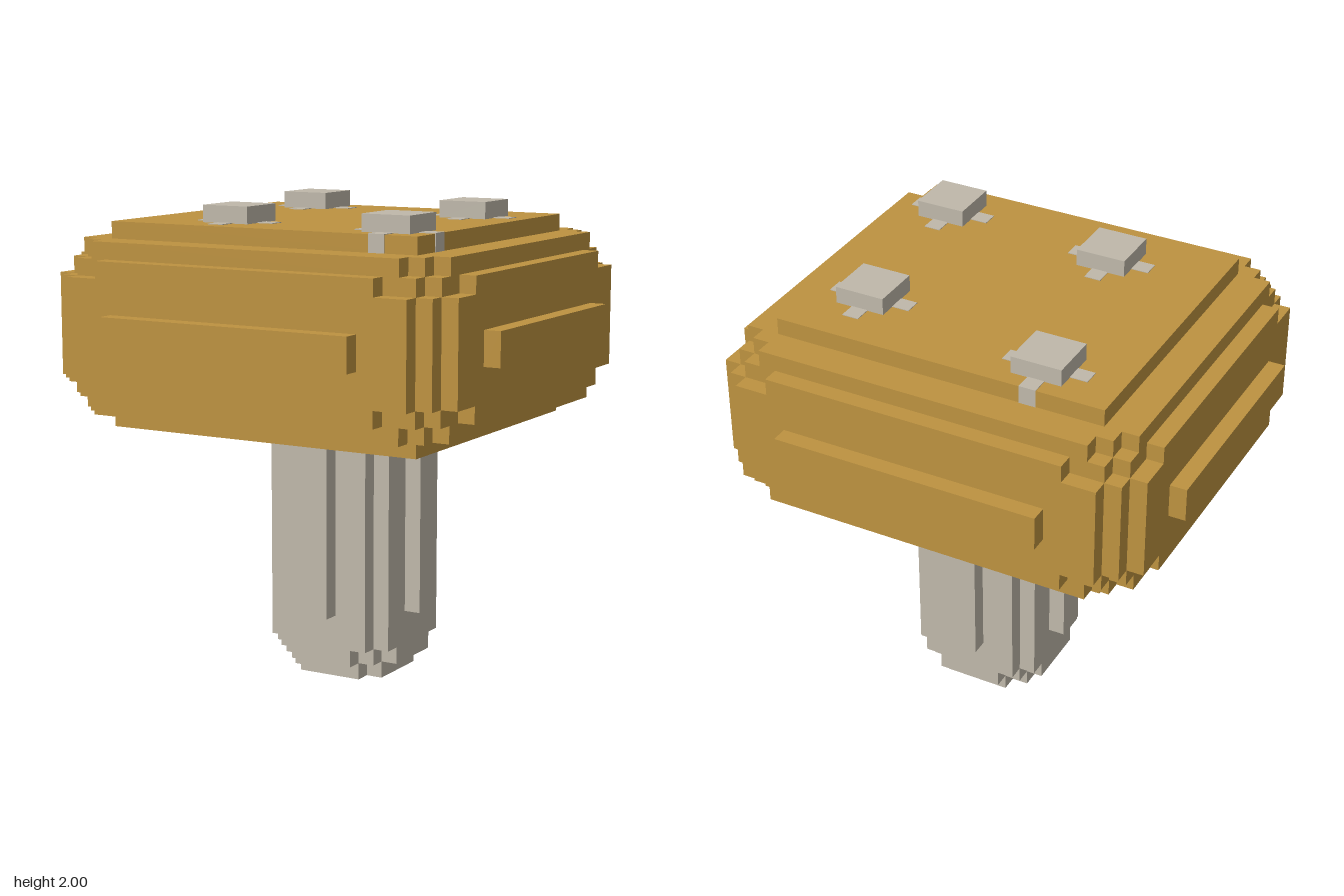
import * as THREE from 'three';

const U = 1 / 14; // edge of one block

const ochre = new THREE.MeshStandardMaterial({ color: 0xbd9240 });
ochre.name = 'ochre cap';
const paleGrey = new THREE.MeshStandardMaterial({ color: 0xbfb8aa });
paleGrey.name = 'pale grey stem';

function add(parent, name, geometry, material) {
  const mesh = new THREE.Mesh(geometry, material);
  mesh.name = name;
  parent.add(mesh);
}

// Box between two corners, in blocks
function box(x0, x1, y0, y1, z0, z1) {
  const g = new THREE.BoxGeometry((x1 - x0) * U, (y1 - y0) * U, (z1 - z0) * U);
  return g.translate((x0 + x1) / 2 * U, (y0 + y1) / 2 * U, (z0 + z1) / 2 * U);
}

// Slab with stepped corners; steps are [half x, half z] pairs of one quadrant
function slab(steps, y0, y1, cx = 0) {
  const q = [];
  steps.forEach(([x, z], i) => {
    if (i > 0) q.push([steps[i - 1][0], z]);
    q.push([x, z]);
  });
  const r = [...q].reverse();
  const outline = [
    ...q,
    ...r.map(([x, z]) => [x, -z]),
    ...q.map(([x, z]) => [-x, -z]),
    ...r.map(([x, z]) => [-x, z]),
  ].map(([x, z]) => new THREE.Vector2((x + cx) * U, z * U));
  const g = new THREE.ExtrudeGeometry(new THREE.Shape(outline), {
    depth: (y1 - y0) * U, bevelEnabled: false,
  });
  return g.rotateX(-Math.PI / 2).translate(0, y0 * U, 0);
}

export function createModel() {
  const model = new THREE.Group();
  model.name = 'mushroom';

  // Stem, narrowing in steps at the foot
  const stem = new THREE.Group();
  stem.name = 'stem';
  model.add(stem);
  add(stem, 'stemFoot', slab([[2, 3], [3, 2]], 0, 1, 1), paleGrey);
  add(stem, 'stemAnkle', slab([[2, 4], [3, 3], [4, 2]], 1, 2, 1), paleGrey);
  add(stem, 'stemBody', slab([[3, 4], [4, 3]], 2, 15, 1), paleGrey);
  for (const s of [-1, 1]) {
    add(stem, 'stemRibZ', box(0, 2, 4, 15, s * 4.5 - 0.5, s * 4.5 + 0.5), paleGrey);
    add(stem, 'stemRibX', box(s * 4.5 + 0.5, s * 4.5 + 1.5, 4, 15, -1, 1), paleGrey);
  }

  // Cap: layers mirrored about its middle at y = 21
  const cap = new THREE.Group();
  cap.name = 'cap';
  model.add(cap);
  add(cap, 'capMiddle', slab([[11, 12], [12, 11], [13, 10]], 18, 24), ochre);
  const layers = [
    [[9, 12], [11, 11], [12, 10], [13, 8]],
    [[10, 11], [11, 10], [12, 9]],
    [[10, 9]],
  ];
  layers.forEach((steps, i) => {
    add(cap, 'capUpperLayer', slab(steps, 24 + i, 25 + i), ochre);
    add(cap, 'capLowerLayer', slab(steps, 17 - i, 18 - i), ochre);
  });
  // Raised bands on the four sides
  for (const s of [-1, 1]) {
    add(cap, 'capBandZ', box(-8, 8, 20, 22, s * 12.5 - 0.5, s * 12.5 + 0.5), ochre);
    add(cap, 'capBandX', box(s * 13.5 - 0.5, s * 13.5 + 0.5, 20, 22, -7, 7), ochre);
  }

  // Spots: a raised tile over a nearly flush cross
  const e = 0.04;
  for (const [x, z] of [[-5.5, -6.5], [6.5, -4.5], [-3.5, 5.5], [7.5, 6.5]]) {
    const spot = new THREE.Group();
    spot.name = 'spot';
    cap.add(spot);
    add(spot, 'spotTile', box(x - 1.5, x + 1.5, 27, 28, z - 1.5, z + 1.5), paleGrey);
    add(spot, 'spotCrossX', box(x - 2.5 - e, x + 2.5 + e, 26, 27 + e, z - 0.5, z + 0.5), paleGrey);
    add(spot, 'spotCrossZ', box(x - 0.5, x + 0.5, 26, 27 + e, z - 2.5 - e, z + 2.5 + e), paleGrey);
  }
  return model;
}
